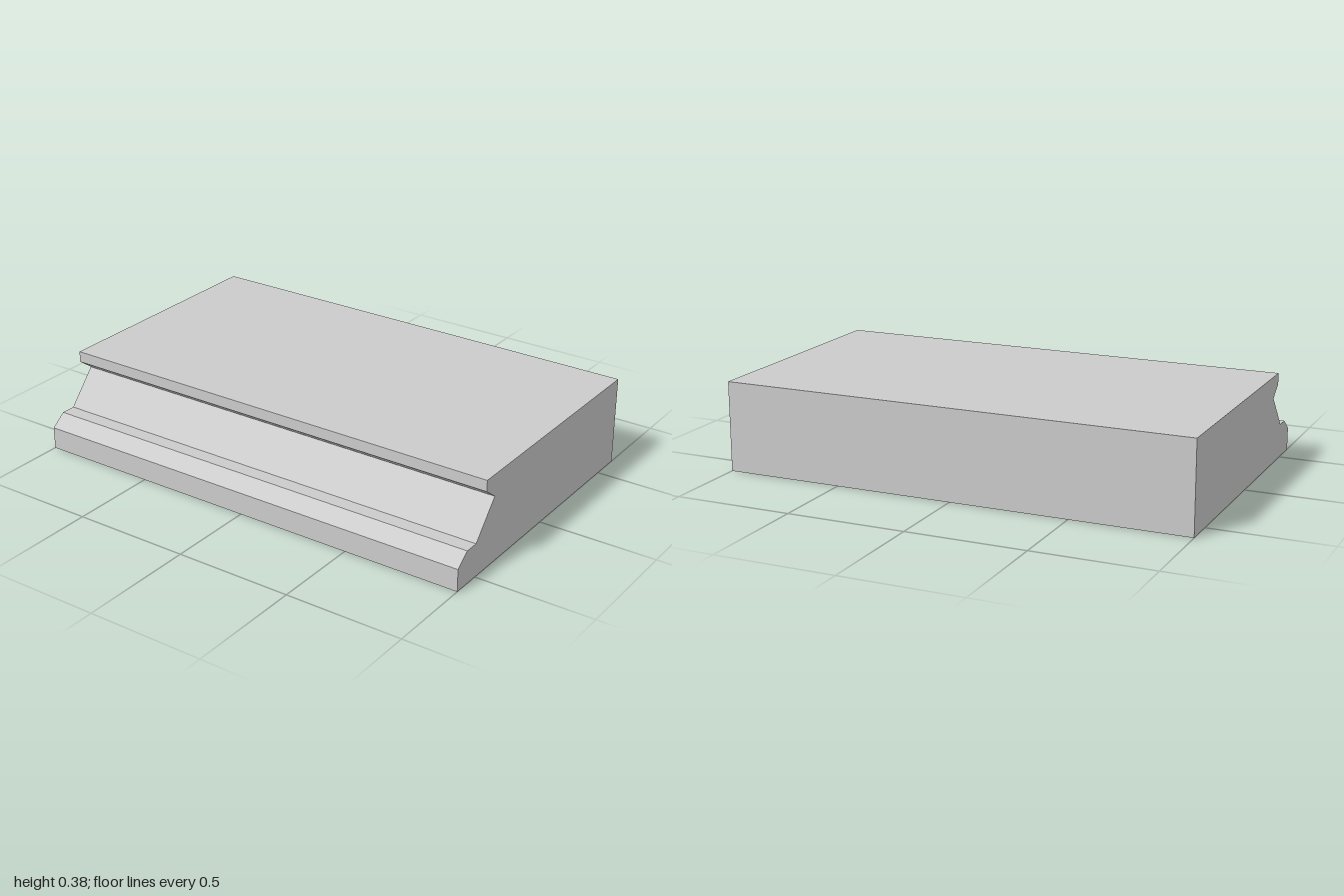
import * as THREE from 'three';

export function createModel() {
  const group = new THREE.Group();
  group.name = 'mouldedSlab';

  // Side profile as [z, y]: flat back and top, moulded front edge
  const profile = [
    [-0.625, 0], [-0.625, 0.38], [0.4375, 0.38], [0.4375, 0.333],
    [0.375, 0.286], [0.5, 0.143], [0.5625, 0.143], [0.625, 0.095], [0.625, 0],
  ];
  const shape = new THREE.Shape(profile.map(([z, y]) => new THREE.Vector2(-z, y)));

  // Run the profile along the full width
  const geometry = new THREE.ExtrudeGeometry(shape, { depth: 2, bevelEnabled: false });
  geometry.translate(0, 0, -1);
  geometry.rotateY(Math.PI / 2);

  const material = new THREE.MeshStandardMaterial({ color: 0xcccccc, flatShading: true });
  const slab = new THREE.Mesh(geometry, material);
  slab.name = 'slab';
  group.add(slab);
  return group;
}
